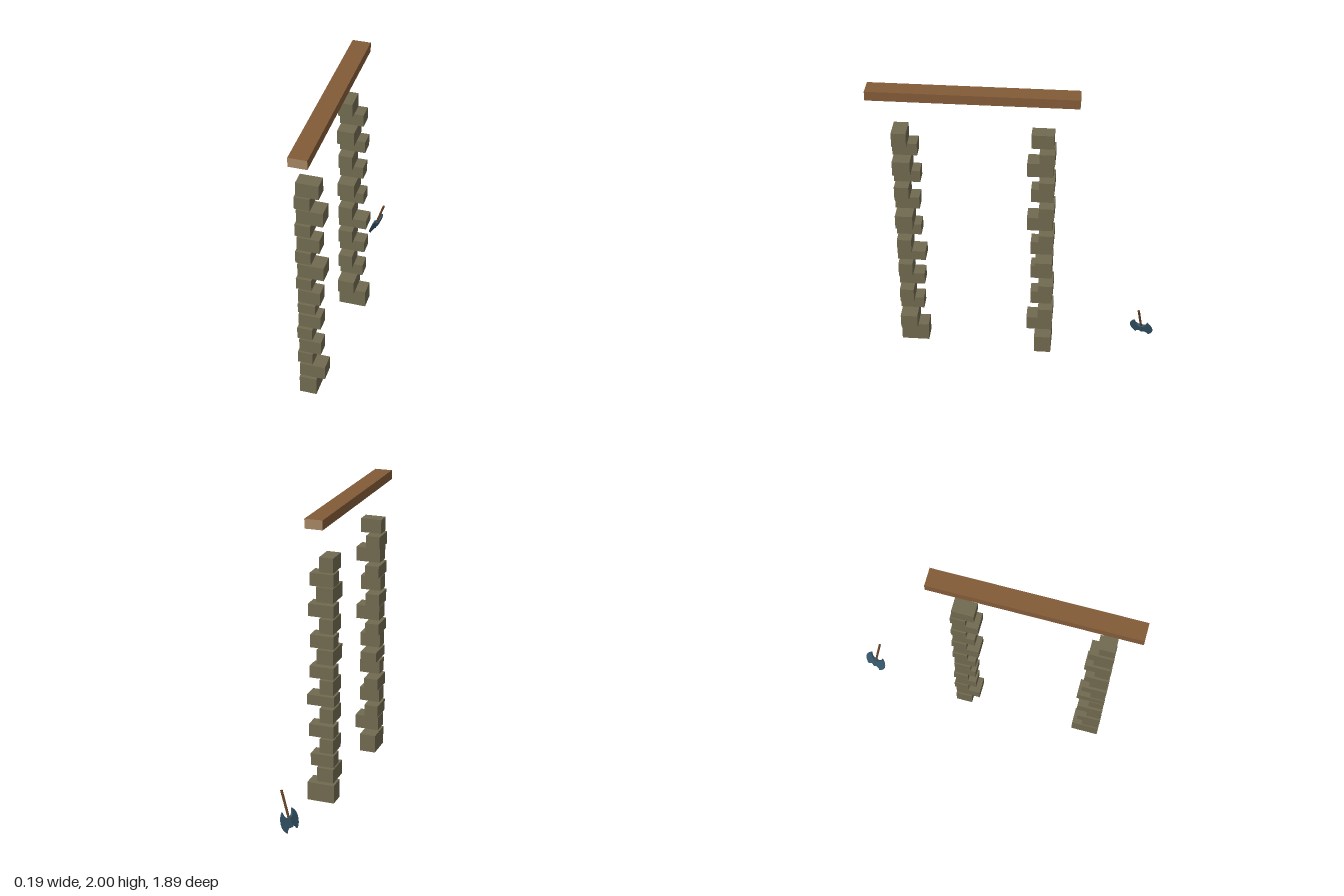
import * as THREE from 'three';

const mat = (name, color, side = THREE.FrontSide) => {
  const m = new THREE.MeshStandardMaterial({ color, side });
  m.name = name;
  return m;
};

export function createModel() {
  const group = new THREE.Group();
  const stone = mat('stone', 0x716a50);
  const wood = mat('beam wood', 0x835b38);
  const endGrain = mat('end grain', 0xa38562);
  const steel = mat('blue steel', 0x35566a);
  const handleWood = mat('handle wood', 0x6b4528);

  // Box given by its limits on each axis
  function box(name, parent, material, [x0, x1], [y0, y1], [z0, z1]) {
    const mesh = new THREE.Mesh(new THREE.BoxGeometry(x1 - x0, y1 - y0, z1 - z0), material);
    mesh.position.set((x0 + x1) / 2, (y0 + y1) / 2, (z0 + z1) / 2);
    mesh.name = name;
    parent.add(mesh);
  }

  // Lintel beam with lighter sawn ends
  box('beam', group, [wood, wood, wood, wood, endGrain, endGrain],
    [-0.08, 0.04], [1.937, 2], [-0.4, 0.95]);

  // Stone courses: bottom, top, x min, x max, z min, z max
  const courses = [
    [0, 0.13, -0.092, 0.022, 0.612, 0.8],
    [0.147, 0.246, -0.09, 0.08, 0.68, 0.795],
    [0.265, 0.35, -0.1, 0, 0.64, 0.8],
    [0.359, 0.457, -0.09, 0.055, 0.7, 0.795],
    [0.474, 0.56, -0.1, 0, 0.628, 0.8],
    [0.577, 0.675, -0.09, 0.055, 0.7, 0.795],
    [0.695, 0.765, -0.092, 0.022, 0.612, 0.8],
    [0.778, 0.876, -0.09, 0.055, 0.7, 0.795],
    [0.891, 0.972, -0.1, 0, 0.636, 0.8],
    [0.987, 1.086, -0.09, 0.08, 0.68, 0.795],
    [1.101, 1.188, -0.1, 0, 0.64, 0.8],
    [1.2, 1.298, -0.09, 0.055, 0.7, 0.795],
    [1.313, 1.397, -0.1, 0, 0.628, 0.8],
    [1.41, 1.51, -0.09, 0.08, 0.68, 0.795],
    [1.519, 1.605, -0.1, 0, 0.64, 0.8],
    [1.612, 1.71, -0.09, 0.055, 0.7, 0.795],
  ];
  const frontPillar = new THREE.Group();
  frontPillar.name = 'frontPillar';
  const backPillar = new THREE.Group();
  backPillar.name = 'backPillar';
  group.add(frontPillar, backPillar);
  courses.forEach(([y0, y1, x0, x1, z0, z1], i) => {
    box(`frontStone${i + 1}`, frontPillar, stone, [x0, x1], [y0, y1], [z0, z1]);
    // The back pillar is the same stack turned a quarter
    box(`backStone${i + 1}`, backPillar, stone,
      [0.706 - z1, 0.706 - z0], [y0, y1], [x0 - 0.15, x1 - 0.15]);
  });

  // Double-bladed axe, leaning with its head down
  const axe = new THREE.Group();
  axe.name = 'axe';
  const up = new THREE.Vector3(0.08, 0.243, 0.032).normalize();
  const across = new THREE.Vector3(0.32, 0, -0.95);
  across.addScaledVector(up, -across.dot(up)).normalize();
  const normal = new THREE.Vector3().crossVectors(across, up);
  axe.quaternion.setFromRotationMatrix(new THREE.Matrix4().makeBasis(across, up, normal));
  axe.position.set(-0.029, 0.165, -0.863);
  group.add(axe);

  const handle = new THREE.Mesh(new THREE.CylinderGeometry(0.0085, 0.0075, 0.245, 8), handleWood);
  handle.position.y = 0.083;
  handle.name = 'handle';
  axe.add(handle);

  const hub = new THREE.Mesh(new THREE.CylinderGeometry(0.014, 0.014, 0.065, 8), steel);
  hub.position.y = -0.008;
  hub.name = 'axeSocket';
  axe.add(hub);

  // Crescent blade, thick at the socket and tapering to the cutting edge
  const outline = new THREE.Shape();
  outline.moveTo(0, 0.022);
  outline.quadraticCurveTo(0.036, 0.018, 0.046, 0.072);
  outline.bezierCurveTo(0.093, 0.04, 0.093, -0.035, 0.046, -0.064);
  outline.quadraticCurveTo(0.036, -0.03, 0, -0.036);
  outline.closePath();
  const bladeGeo = new THREE.ExtrudeGeometry(outline, { depth: 0.024, bevelEnabled: false, curveSegments: 8 });
  bladeGeo.translate(0, 0, -0.012);
  const p = bladeGeo.attributes.position;
  for (let i = 0; i < p.count; i++) p.setZ(i, p.getZ(i) * (1 - 0.92 * p.getX(i) / 0.083));
  bladeGeo.computeVertexNormals();
  for (const turn of [0, Math.PI]) {
    const blade = new THREE.Mesh(bladeGeo, steel);
    blade.rotation.y = turn;
    blade.name = turn ? 'innerBlade' : 'outerBlade';
    axe.add(blade);
  }
  return group;
}
